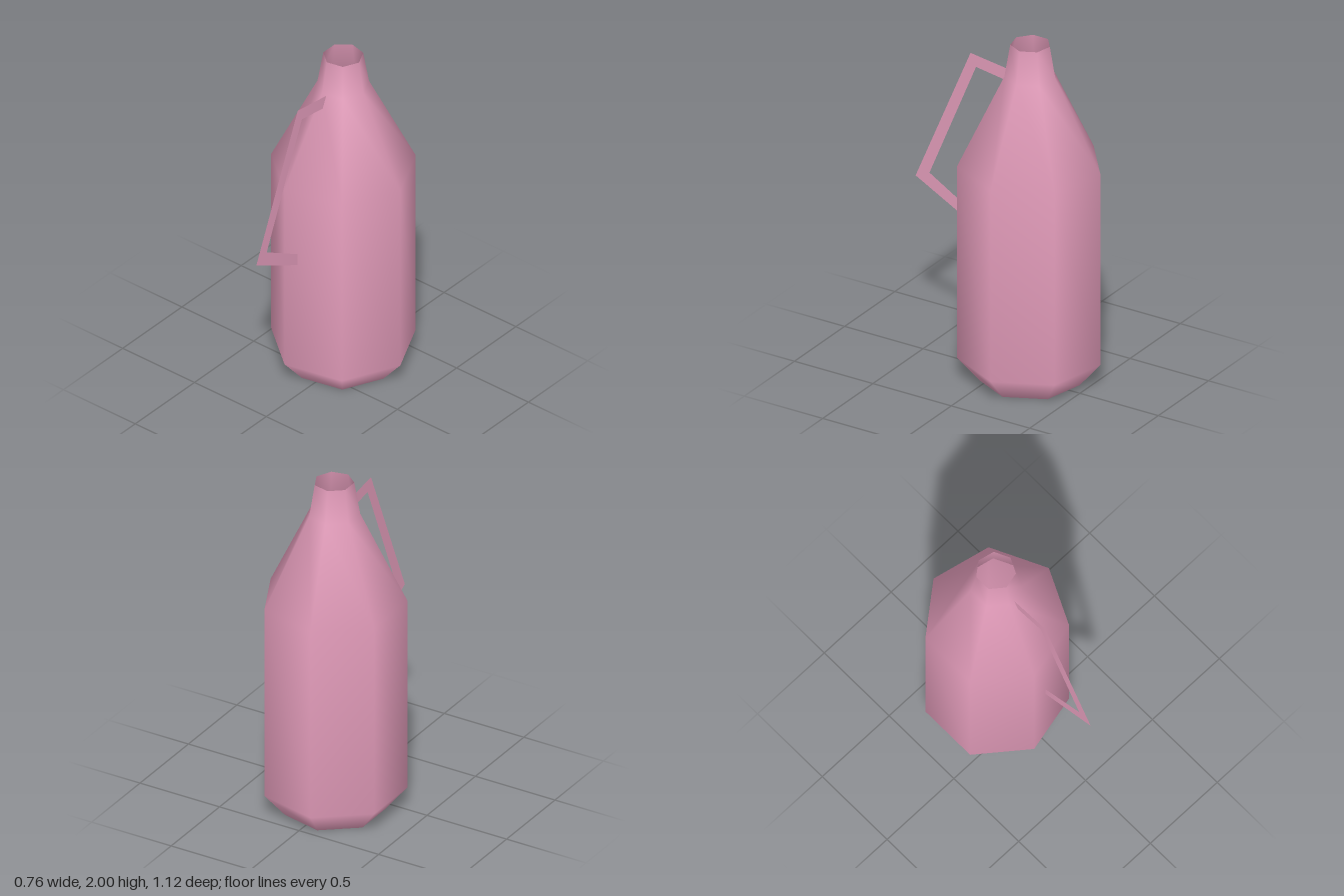
import * as THREE from 'three';

const SIDES = 7;
const AXIS_X = -0.02;
const AXIS_Z = -0.173;

export function createModel() {
  const model = new THREE.Group();
  model.name = 'bottle';
  const material = new THREE.MeshStandardMaterial({ color: 0xe09ab8, side: THREE.DoubleSide });

  const add = (name, geometry, x, y, z) => {
    const mesh = new THREE.Mesh(geometry, material);
    mesh.name = name;
    mesh.position.set(x, y, z);
    model.add(mesh);
    return mesh;
  };

  // Seven-sided open shell: chamfered foot, straight wall, shoulder, neck
  const profile = [
    [0.28, 0], [0.398, 0.14], [0.398, 1.285], [0.142, 1.81], [0.11, 2],
  ].map(([r, y]) => new THREE.Vector2(r, y));
  add('body', new THREE.LatheGeometry(profile, SIDES, Math.PI / 2), AXIS_X, 0, AXIS_Z);

  // Flat base, facing down
  const base = new THREE.CircleGeometry(0.28, SIDES);
  base.rotateX(Math.PI / 2);
  add('base', base, AXIS_X, 0, AXIS_Z);

  // Flat strap handle, outlined in (z, y)
  const outline = [
    [-0.03, 1.81], [0.21, 1.843], [0.56, 1.015], [0.213, 0.83],
    [0.213, 0.902], [0.472, 1.055], [0.175, 1.768], [0, 1.742],
  ].map(([z, y]) => new THREE.Vector2(z, y));
  const handle = new THREE.ShapeGeometry(new THREE.Shape(outline));
  handle.rotateY(-Math.PI / 2);
  add('handle', handle, AXIS_X, 0, 0);

  return model;
}
